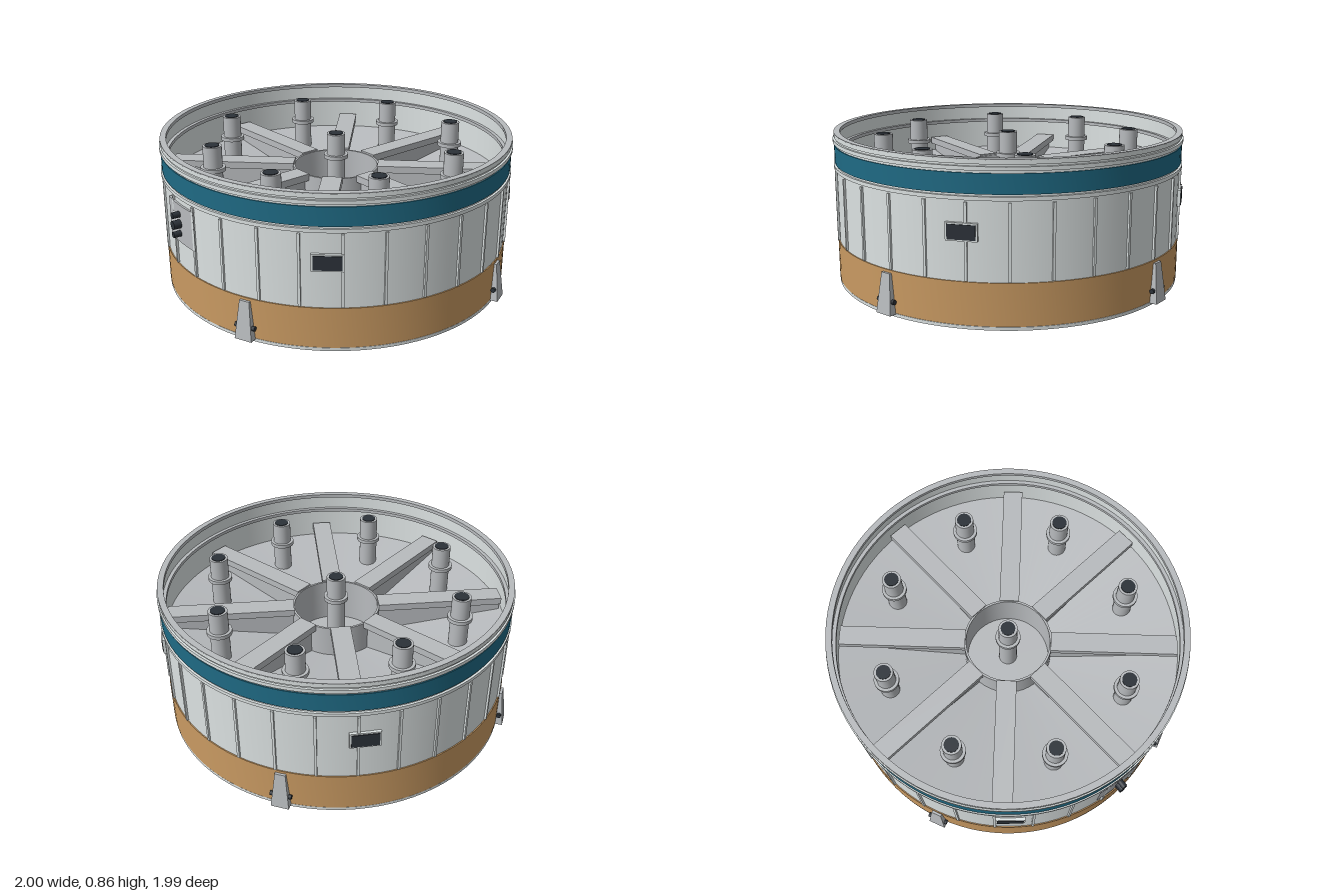
import * as THREE from 'three';
import { toCreasedNormals } from 'three/addons/utils/BufferGeometryUtils.js';

const mat = (name, color) => {
  const m = new THREE.MeshStandardMaterial({ color });
  m.name = name;
  return m;
};

export function createModel() {
  const body = mat('paleGrey', 0xdce2e2);
  const metal = mat('steelGrey', 0xb8bbbe);
  const tan = mat('tan', 0xc99a62);
  const blue = mat('tealBlue', 0x1f6a84);
  const dark = mat('charcoal', 0x2b3138);
  const black = mat('sealBlack', 0x17181a);

  const model = new THREE.Group();
  const rad = THREE.MathUtils.degToRad;

  const add = (parent, name, geo, material, x = 0, y = 0, z = 0) => {
    const m = new THREE.Mesh(geo, material);
    m.name = name;
    m.position.set(x, y, z);
    parent.add(m);
    return m;
  };

  // Closed ring turned from a cross-section, optionally only an arc (angles from +z towards +x)
  const turned = (name, profile, material, parent = model, seg = 96, start = 0, arc = 360) => {
    const pts = [...profile, profile[0]].map(p => new THREE.Vector2(...p));
    const geo = new THREE.LatheGeometry(pts, seg, rad(start), rad(arc));
    return add(parent, name, toCreasedNormals(geo, 0.6), material);
  };

  // Square-section ring
  const hoop = (name, rOut, rIn, y0, y1, material, ...rest) =>
    turned(name, [[rOut, y0], [rOut, y1], [rIn, y1], [rIn, y0]], material, ...rest);

  // Group turned about y so that its local +z points outwards at the angle
  const spoke = (name, deg) => {
    const g = new THREE.Group();
    g.name = name;
    g.rotation.y = rad(deg);
    model.add(g);
    return g;
  };

  const disc = (parent, name, r, y0, y1, material, x = 0, z = 0, seg = 32) =>
    add(parent, name, new THREE.CylinderGeometry(r, r, y1 - y0, seg), material, x, (y0 + y1) / 2, z);

  const box = (parent, name, w, h, d, material, x, y, z) =>
    add(parent, name, new THREE.BoxGeometry(w, h, d), material, x, y, z);

  // Outer shell with painted bands and hoops
  hoop('shell', 0.985, 0.974, 0, 0.852, body);
  hoop('bottomRim', 0.99, 0.978, 0, 0.018, body);
  hoop('tanBand', 0.991, 0.98, 0.02, 0.245, tan);
  hoop('blueBand', 0.991, 0.98, 0.685, 0.787, blue);
  hoop('lowerHoop', 0.997, 0.98, 0.655, 0.675, body);
  hoop('upperHoop', 0.997, 0.98, 0.8, 0.82, body);
  hoop('topCollar', 0.991, 0.98, 0.83, 0.852, body);
  hoop('topRim', 0.9905, 0.957, 0.835, 0.856, metal);
  hoop('innerTopRing', 0.98, 0.953, 0.735, 0.755, metal);
  hoop('innerBottomRing', 0.98, 0.966, 0.13, 0.16, body);

  // Vertical stringers
  for (let i = 0; i < 29; i++) {
    const g = spoke('stringer', 9.2 + i * 360 / 29);
    box(g, 'stringerBar', 0.014, 0.395, 0.016, body, 0, 0.4475, 0.988);
  }

  // Framed windows
  for (let i = 0; i < 4; i++) {
    const g = spoke('window', -19.9 + i * 90);
    box(g, 'windowFrame', 0.162, 0.092, 0.024, body, 0, 0.497, 0.987);
    box(g, 'windowPane', 0.144, 0.076, 0.006, dark, 0, 0.497, 1.0);
  }

  // Service panel with three connectors
  hoop('servicePanel', 0.996, 0.98, 0.4, 0.62, metal, model, 8, -81, 16.5);
  const service = spoke('connectors', -73);
  [0.455, 0.51, 0.565].forEach((y, i) => {
    const r = i === 1 ? 0.024 : 0.017;
    add(service, 'connector', new THREE.CylinderGeometry(r, r, 0.044, 16), dark, 0, y, 1.016).rotation.x = Math.PI / 2;
  });

  // Hold-down feet: tapered blocks with a cross bolt
  for (let i = 0; i < 4; i++) {
    const g = spoke('holdDownFoot', 45 + i * 90);
    const geo = new THREE.BoxGeometry(0.1, 0.215, 0.08);
    const p = geo.attributes.position;
    for (let k = 0; k < p.count; k++) {
      const top = p.getY(k) > 0;
      if (top) p.setX(k, p.getX(k) * 0.58);
      p.setZ(k, p.getZ(k) > 0 ? (top ? 1.004 : 1.03) : (top ? 0.976 : 0.947));
    }
    geo.computeVertexNormals();
    add(g, 'footBlock', geo, metal, 0, 0.1225, 0);
    add(g, 'footBolt', new THREE.CylinderGeometry(0.013, 0.013, 0.118, 12), dark, 0, 0.083, 1.003).rotation.z = Math.PI / 2;
  }

  // Shallow conical deck with a central hub well
  turned('deck', [[0.976, 0.53], [0.976, 0.56], [0.245, 0.46], [0.245, 0.43]], metal);
  hoop('hub', 0.25, 0.238, 0.36, 0.64, metal, model, 48);
  disc(model, 'hubFloor', 0.245, 0.36, 0.39, metal, 0, 0, 48);

  // Thrust beams: flange on a narrower web
  for (let i = 0; i < 8; i++) {
    const g = spoke('thrustBeam', 22.5 + i * 45);
    box(g, 'beamFlange', 0.112, 0.04, 0.715, metal, 0, 0.63, 0.6);
    box(g, 'beamWeb', 0.05, 0.17, 0.715, metal, 0, 0.53, 0.6);
  }

  // Engine mounts above the deck and engine openings below the shield
  const mount = (x, z) => {
    const g = new THREE.Group();
    g.name = 'engineMount';
    g.position.set(x, 0, z);
    model.add(g);
    disc(g, 'mountPost', 0.053, 0.38, 0.824, metal);
    disc(g, 'mountCollar', 0.07, 0.68, 0.702, metal);
    disc(g, 'mountCap', 0.04, 0.822, 0.828, dark);
    hoop('openingSeal', 0.188, 0.176, 0.313, 0.33, black, g, 40);
    hoop('openingRim', 0.18, 0.17, 0.295, 0.33, body, g, 40);
    disc(g, 'openingCover', 0.172, 0.313, 0.33, metal, 0, 0, 40);
    // Fasteners around each opening
    for (let k = 0; k < 8; k++) {
      const a = rad(22.5 + k * 45);
      disc(g, 'fastener', 0.007, 0.31, 0.32, body, Math.sin(a) * 0.215, Math.cos(a) * 0.215, 8);
    }
  };
  mount(0, 0);
  for (let i = 0; i < 8; i++) mount(Math.sin(i * Math.PI / 4) * 0.715, Math.cos(i * Math.PI / 4) * 0.715);

  // Heat shield with radial seams and fasteners
  disc(model, 'heatShield', 0.975, 0.318, 0.335, tan, 0, 0, 96);
  hoop('shieldEdgeSeal', 0.976, 0.955, 0.311, 0.328, black);
  for (let i = 0; i < 8; i++) {
    const g = spoke('shieldSeam', 22.5 + i * 45);
    box(g, 'seamStrip', 0.018, 0.012, 0.77, black, 0, 0.318, 0.575);
    for (let k = 0; k < 6; k++) {
      for (const s of [-1, 1]) disc(g, 'fastener', 0.007, 0.31, 0.32, body, s * 0.04, 0.32 + k * 0.115, 8);
    }
  }

  return model;
}
